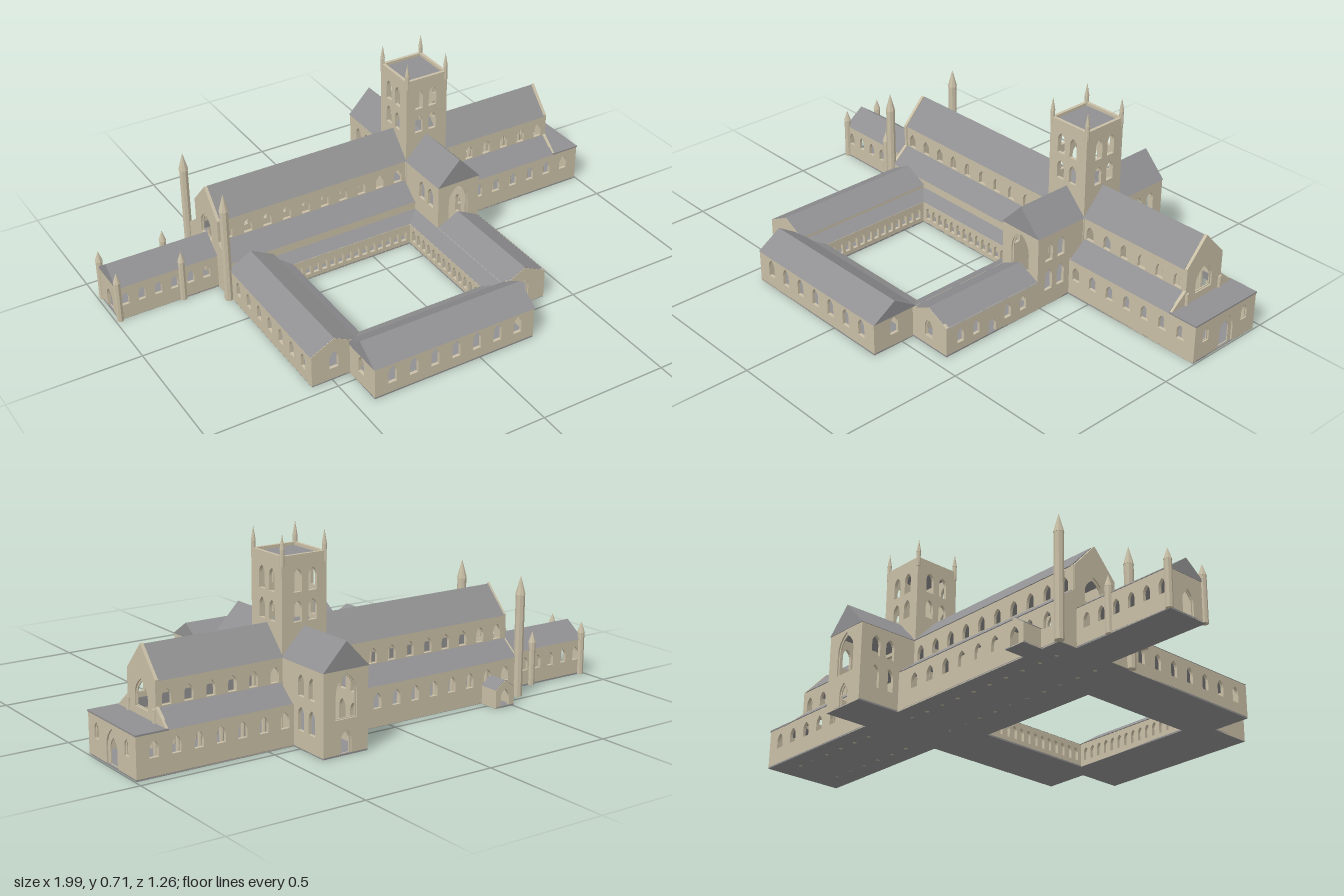
import * as THREE from 'three';

const stone = new THREE.MeshStandardMaterial({ color: 0xc9bfa6, flatShading: true });
stone.name = 'pale stone';
const slate = new THREE.MeshStandardMaterial({ color: 0x909092, flatShading: true, side: THREE.DoubleSide });
slate.name = 'grey slate';

const T = 0.012;   // wall thickness
const Y0 = 0.001;  // foot of the walls

export function createModel() {
  const model = new THREE.Group();
  model.name = 'abbey';

  const add = (name, geo, mat, parent = model) => {
    const m = new THREE.Mesh(geo, mat);
    m.name = name;
    parent.add(m);
    return m;
  };
  const box = (name, x0, x1, y0, y1, z0, z1, mat) => {
    const m = add(name, new THREE.BoxGeometry(x1 - x0, y1 - y0, z1 - z0), mat);
    m.position.set((x0 + x1) / 2, (y0 + y1) / 2, (z0 + z1) / 2);
    return m;
  };
  const row = (n, start, step, y, w, h) =>
    Array.from({ length: n }, (_, i) => [start + i * step, y, w, h]);

  // pointed arch outline, used for holes and frames
  const arch = (path, u, y, w, h) => {
    const a = w / 2, s = y + Math.max(h - w * 0.85, h * 0.4);
    path.moveTo(u - a, y);
    path.lineTo(u + a, y);
    path.lineTo(u + a, s);
    path.quadraticCurveTo(u + a, s + (y + h - s) * 0.6, u, y + h);
    path.quadraticCurveTo(u - a, s + (y + h - s) * 0.6, u - a, s);
    path.closePath();
    return path;
  };

  // wall from a to b (left to right seen from outside); outline is [u, y] points,
  // openings are [world position along the wall, sill, width, height, frame inset]
  const wall = (name, a, b, outline, openings = []) => {
    const g = new THREE.Group();
    g.name = name;
    const dx = b[0] - a[0], dz = b[1] - a[1];
    g.position.set(a[0], 0, a[1]);
    g.rotation.y = Math.atan2(-dz, dx);
    const alongX = Math.abs(dx) > Math.abs(dz);
    const shape = new THREE.Shape(outline.map(p => new THREE.Vector2(p[0], p[1])));
    for (const [c, y, w, h, inset] of openings) {
      const u = Math.abs(c - (alongX ? a[0] : a[1]));
      shape.holes.push(arch(new THREE.Path(), u, y, w, h));
      if (inset) {
        const ring = arch(new THREE.Shape(), u, y, w, h);
        ring.holes.push(arch(new THREE.Path(), u, y + 0.003, w - 2 * inset, h - 2 * inset));
        const f = add('arch frame', new THREE.ExtrudeGeometry(ring,
          { depth: 0.004, bevelEnabled: false, curveSegments: 4 }), stone, g);
        f.position.z = -T + 0.002;
      }
    }
    const m = add(name + ' face', new THREE.ExtrudeGeometry(shape,
      { depth: T, bevelEnabled: false, curveSegments: 4 }), stone, g);
    m.position.z = -T;
    model.add(g);
  };
  const rect = (a, b, y0, y1, peak) => {
    const L = Math.hypot(b[0] - a[0], b[1] - a[1]);
    const p = [[0, y0], [L, y0], [L, y1]];
    if (peak) p.push([L / 2, peak]);
    p.push([0, y1]);
    return p;
  };
  const flat = (name, a, b, y0, y1, openings, peak) =>
    wall(name, a, b, rect(a, b, y0, y1, peak), openings);

  // four walls round a rectangle; each side is { o: openings, peak } or false
  const block = (name, x0, x1, z0, z1, y0, y1, s = {}) => {
    const sides = {
      front: [[x0, z1], [x1, z1]], right: [[x1, z1], [x1, z0]],
      back: [[x1, z0], [x0, z0]], left: [[x0, z0], [x0, z1]],
    };
    for (const [k, [a, b]] of Object.entries(sides)) {
      if (s[k] === false) continue;
      flat(`${name} ${k} wall`, a, b, y0, y1, s[k]?.o, s[k]?.peak);
    }
  };

  // solid roof from a cross-section, running along x or z
  const roof = (name, axis, from, to, pts) => {
    const shape = new THREE.Shape(pts.map(p => new THREE.Vector2(axis === 'x' ? -p[0] : p[0], p[1])));
    const m = add(name, new THREE.ExtrudeGeometry(shape, { depth: to - from, bevelEnabled: false }), slate);
    if (axis === 'x') { m.rotation.y = Math.PI / 2; m.position.x = from; } else m.position.z = from;
  };
  const gableRoof = (name, axis, from, to, c0, c1, y, peak) =>
    roof(name, axis, from, to, [[c0, y], [c1, y], [(c0 + c1) / 2, peak]]);

  const turret = (name, x, z, r, y0, y1, top) => {
    const shaft = add(name + ' shaft', new THREE.CylinderGeometry(r, r, y1 - y0, 8), stone);
    shaft.position.set(x, (y0 + y1) / 2, z);
    const spire = add(name + ' spire', new THREE.ConeGeometry(r * 1.1, top - y1, 8), stone);
    spire.position.set(x, (y1 + top) / 2, z);
  };

  // floors
  const floors = [
    [-0.585, 0.995, -0.465, -0.145], [0.22, 0.4, -0.635, 0.45], [-0.985, -0.585, -0.39, -0.23],
    [-0.58, -0.4, -0.145, 0.46], [-0.43, 0.225, 0.44, 0.625], [-0.505, -0.42, -0.545, -0.465],
    [-0.4, 0.22, -0.145, -0.095], [-0.4, 0.22, 0.38, 0.44],
    [-0.4, -0.345, -0.095, 0.38], [0.165, 0.22, -0.095, 0.38],
  ];
  for (const [x0, x1, z0, z1] of floors) box('floor', x0, x1, 0, 0.006, z0, z1, slate);

  // nave and choir: aisles, clerestory, piers
  const zs = -0.145, zn = -0.465, cs = -0.215, cn = -0.4, zc = (cs + cn) / 2;
  const aisleW = row(9, -0.53, 0.083, 0.068, 0.034, 0.057);
  const aisleE = row(7, 0.435, 0.0825, 0.068, 0.034, 0.057);
  const clerW = row(10, -0.543, 0.0808, 0.21, 0.034, 0.056);
  const clerE = row(6, 0.432, 0.0825, 0.21, 0.034, 0.056);
  for (const [x0, x1, cler, aisle, xa] of [[-0.585, 0.22, clerW, aisleW, 0.22], [0.4, 0.88, clerE, aisleE, 0.995]]) {
    flat('south aisle wall', [x0, zs], [xa, zs], Y0, 0.15, x0 < 0 ? [] : aisle);
    flat('north aisle wall', [xa, zn], [x0, zn], Y0, 0.15, aisle);
    flat('south clerestory', [x0, cs], [x1, cs], 0.19, 0.297, cler);
    flat('north clerestory', [x1, cn], [x0, cn], 0.19, 0.297, cler);
    roof('south aisle roof', 'x', x0 + 0.006, x1 - 0.004, [[zs + 0.004, 0.15], [cs, 0.15], [cs, 0.207]]);
    roof('north aisle roof', 'x', x0 + 0.006, x1 - 0.004, [[zn - 0.004, 0.15], [cn, 0.15], [cn, 0.207]]);
    for (const [c] of cler) for (const z of [cs - 0.006, cn + 0.006]) {
      const p = add('pier', new THREE.CylinderGeometry(0.008, 0.008, 0.2, 8), stone);
      p.position.set(c + 0.041, 0.1, z);
    }
  }
  gableRoof('nave roof', 'x', -0.575, 0.872, cn - 0.004, cs + 0.004, 0.294, 0.395);

  // end fronts following the section of nave and aisles
  const L = zs - zn, i0 = zs - cs, i1 = zs - cn;
  const section = y => [[0, y], [L, y], [L, 0.152], [i1, 0.209], [i1, 0.297],
    [(i0 + i1) / 2, 0.398], [i0, 0.297], [i0, 0.209], [0, 0.152]];
  const bigWindow = [zc, 0.18, 0.086, 0.1, 0.006];
  wall('east gable', [0.885, zs], [0.885, zn], section(0.15), [bigWindow]);
  wall('west gable', [-0.587, zn], [-0.587, zs], section(Y0), [bigWindow, [zc, 0.004, 0.05, 0.09]]);

  // low eastern chapel
  flat('east chapel wall', [0.995, zs], [0.995, zn], Y0, 0.15,
    [[zc, 0.004, 0.08, 0.128, 0.017], [-0.202, 0.068, 0.03, 0.057, 0.005], [-0.405, 0.068, 0.03, 0.057, 0.005]]);
  box('east chapel roof', 0.876, 0.997, 0.148, 0.154, zn - 0.002, zs + 0.002, slate);

  // transepts
  const upper = c => [c, 0.185, 0.036, 0.077], lower = c => [c, 0.065, 0.036, 0.085];
  const sOp = [-0.04, -0.1], nOp = [-0.508, -0.57];
  block('south transept', 0.22, 0.4, cs, 0.015, Y0, 0.295, {
    front: { o: [[0.309, 0.135, 0.088, 0.148, 0.006]] }, back: false,
    right: { o: [...sOp.map(upper), ...sOp.map(lower)] }, left: { o: sOp.map(upper) },
  });
  block('north transept', 0.22, 0.4, -0.635, cn, Y0, 0.295, {
    back: { o: [[0.309, 0.125, 0.088, 0.158, 0.006], [0.309, 0.004, 0.045, 0.085, 0.006]] }, front: false,
    right: { o: [...nOp.map(upper), ...nOp.map(lower)] }, left: { o: [...nOp.map(upper), ...nOp.map(lower)] },
  });
  gableRoof('transept roof', 'z', -0.637, 0.017, 0.217, 0.403, 0.293, 0.39);

  // crossing tower
  const tower = c => [c - 0.03, c + 0.03].flatMap(p => [[p, 0.405, 0.034, 0.073], [p, 0.507, 0.034, 0.08]]);
  block('tower', 0.22, 0.4, -0.397, -0.213, 0.28, 0.635, {
    front: { o: tower(0.306) }, back: { o: tower(0.306) }, left: { o: tower(zc) }, right: { o: tower(zc) },
  });
  box('tower roof', 0.23, 0.39, 0.615, 0.624, -0.387, -0.223, slate);
  for (const x of [0.225, 0.395]) for (const z of [-0.218, -0.392]) {
    box('crossing pier', x - 0.008, x + 0.008, Y0, 0.29, z - 0.008, z + 0.008, stone);
    turret('tower pinnacle', x, z, 0.008, 0.6, 0.658, 0.71);
  }

  // western porch with turrets
  const porchWin = row(6, -0.955, 0.0645, 0.06, 0.028, 0.052);
  block('west porch', -0.985, -0.58, -0.39, -0.23, Y0, 0.14, {
    front: { o: porchWin }, back: { o: porchWin }, right: false,
    left: { o: [[zc, 0.004, 0.05, 0.09, 0.005]] },
  });
  gableRoof('west porch roof', 'x', -0.987, -0.585, -0.393, -0.227, 0.139, 0.2);
  for (const z of [-0.39, -0.23]) for (const x of [-0.982, -0.73])
    turret('porch turret', x, z, 0.013, Y0, 0.165, 0.208);
  for (const z of [-0.47, -0.142]) turret('west front turret', -0.59, z, 0.017, Y0, 0.385, 0.455);

  // north porch
  block('north porch', -0.505, -0.42, -0.545, -0.468, Y0, 0.07, {
    front: false, back: { o: [[-0.4625, 0.004, 0.04, 0.065]], peak: 0.1 },
  });
  gableRoof('north porch roof', 'z', -0.543, -0.466, -0.508, -0.417, 0.07, 0.102);

  // west range
  const wz = row(7, -0.08, 0.08, 0.045, 0.03, 0.06);
  block('west range', -0.58, -0.4, -0.145, 0.46, Y0, 0.128, {
    front: { o: [[-0.493, 0.05, 0.036, 0.07]], peak: 0.174 }, back: false, left: { o: wz },
  });
  gableRoof('west range roof', 'z', -0.145, 0.458, -0.583, -0.397, 0.127, 0.175);

  // south range
  block('south range', -0.43, 0.225, 0.44, 0.625, Y0, 0.125, {
    front: { o: row(7, -0.36, 0.086, 0.045, 0.033, 0.07) },
    right: { o: [[0.535, 0.05, 0.036, 0.07]] }, left: { o: [[0.535, 0.05, 0.036, 0.07]] },
  });
  gableRoof('south range roof', 'x', -0.432, 0.228, 0.437, 0.627, 0.124, 0.185);

  // east range
  block('east range', 0.22, 0.4, 0.015, 0.45, Y0, 0.117, {
    front: { o: [[0.309, 0.04, 0.04, 0.07, 0.005]], peak: 0.16 }, back: false,
    right: { o: [...[0.385, 0.31, 0.16, 0.085].map(c => [c, 0.035, 0.03, 0.057]), [0.235, 0.004, 0.037, 0.06]] },
  });
  gableRoof('east range roof', 'z', 0.015, 0.448, 0.217, 0.403, 0.115, 0.162);

  // cloister arcade: walls facing the court, with a sloping roof ring behind
  const X0 = -0.345, X1 = 0.165, Z0 = -0.095, Z1 = 0.38;
  const ax = row(14, X0 + 0.028, 0.035, 0.022, 0.022, 0.05);
  const az = row(13, Z0 + 0.0275, 0.035, 0.022, 0.022, 0.05);
  flat('arcade north', [X0, Z0], [X1, Z0], Y0, 0.09, ax);
  flat('arcade south', [X1, Z1], [X0, Z1], Y0, 0.09, ax);
  flat('arcade west', [X0, Z1], [X0, Z0], Y0, 0.09, az);
  flat('arcade east', [X1, Z0], [X1, Z1], Y0, 0.09, az);
  const outer = [[-0.4, -0.145], [-0.4, 0.44], [0.22, 0.44], [0.22, -0.145]];
  const inner = [[X0, Z0], [X0, Z1], [X1, Z1], [X1, Z0]];
  const pos = [];
  for (let i = 0; i < 4; i++) {
    const j = (i + 1) % 4;
    const [a, b] = [outer[i], outer[j]].map(p => [p[0], 0.115, p[1]]);
    const [c, d] = [inner[j], inner[i]].map(p => [p[0], 0.091, p[1]]);
    pos.push(...a, ...b, ...c, ...a, ...c, ...d);
  }
  const ring = new THREE.BufferGeometry();
  ring.setAttribute('position', new THREE.Float32BufferAttribute(pos, 3));
  ring.computeVertexNormals();
  add('cloister walk roof', ring, slate);

  return model;
}
